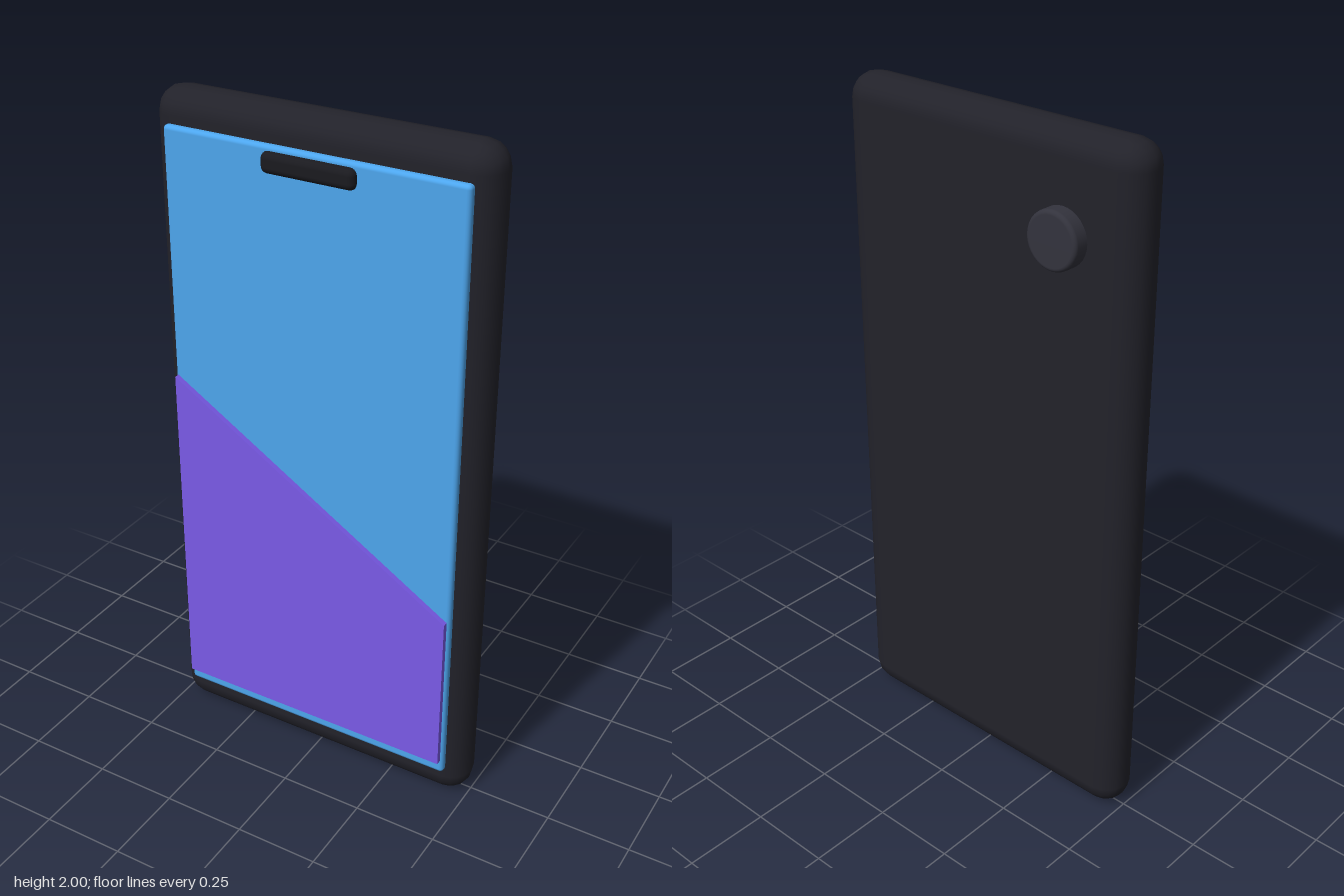
import * as THREE from 'three';
import { RoundedBoxGeometry } from 'three/addons/geometries/RoundedBoxGeometry.js';

const paint = (color) => new THREE.MeshStandardMaterial({ color });

export function createModel() {
  const phone = new THREE.Group();
  phone.name = 'phone';

  const add = (name, geometry, color, x, y, z) => {
    const mesh = new THREE.Mesh(geometry, paint(color));
    mesh.name = name;
    mesh.position.set(x, y, z);
    phone.add(mesh);
    return mesh;
  };

  // Pillow-edged body
  add('body', new RoundedBoxGeometry(1, 2, 0.142, 2, 0.071), 0x22222a, 0, 1, 0.002);

  // Raised display panel
  add('screen', new RoundedBoxGeometry(0.89, 1.81, 0.03, 2, 0.012), 0x4da6ee, 0, 1.005, 0.076);

  // Slanted lower half of the wallpaper
  const slant = new THREE.Shape([
    new THREE.Vector2(-0.436, 0.145),
    new THREE.Vector2(0.436, 0.145),
    new THREE.Vector2(0.436, 0.645),
    new THREE.Vector2(-0.436, 1.185),
  ]);
  const slantGeometry = new THREE.ExtrudeGeometry(slant, { depth: 0.018, bevelEnabled: false });
  add('wallpaperPanel', slantGeometry, 0x7a5ae8, 0, 0, 0.089);

  // Speaker notch
  add('speaker', new RoundedBoxGeometry(0.275, 0.058, 0.04, 3, 0.019), 0x1a1a1f, 0, 1.868, 0.09);

  // Round camera on the back with a softened rim
  const rim = 0.012;
  const profile = [new THREE.Vector2(0.08, 0)];
  for (let i = 0; i <= 4; i++) {
    const a = (i / 4) * Math.PI / 2;
    profile.push(new THREE.Vector2(0.08 - rim + rim * Math.cos(a), 0.065 - rim + rim * Math.sin(a)));
  }
  profile.push(new THREE.Vector2(0, 0.065));
  const camera = add('camera', new THREE.LatheGeometry(profile, 32), 0x33333d, -0.274, 1.73, -0.049);
  camera.rotation.x = -Math.PI / 2;

  return phone;
}
